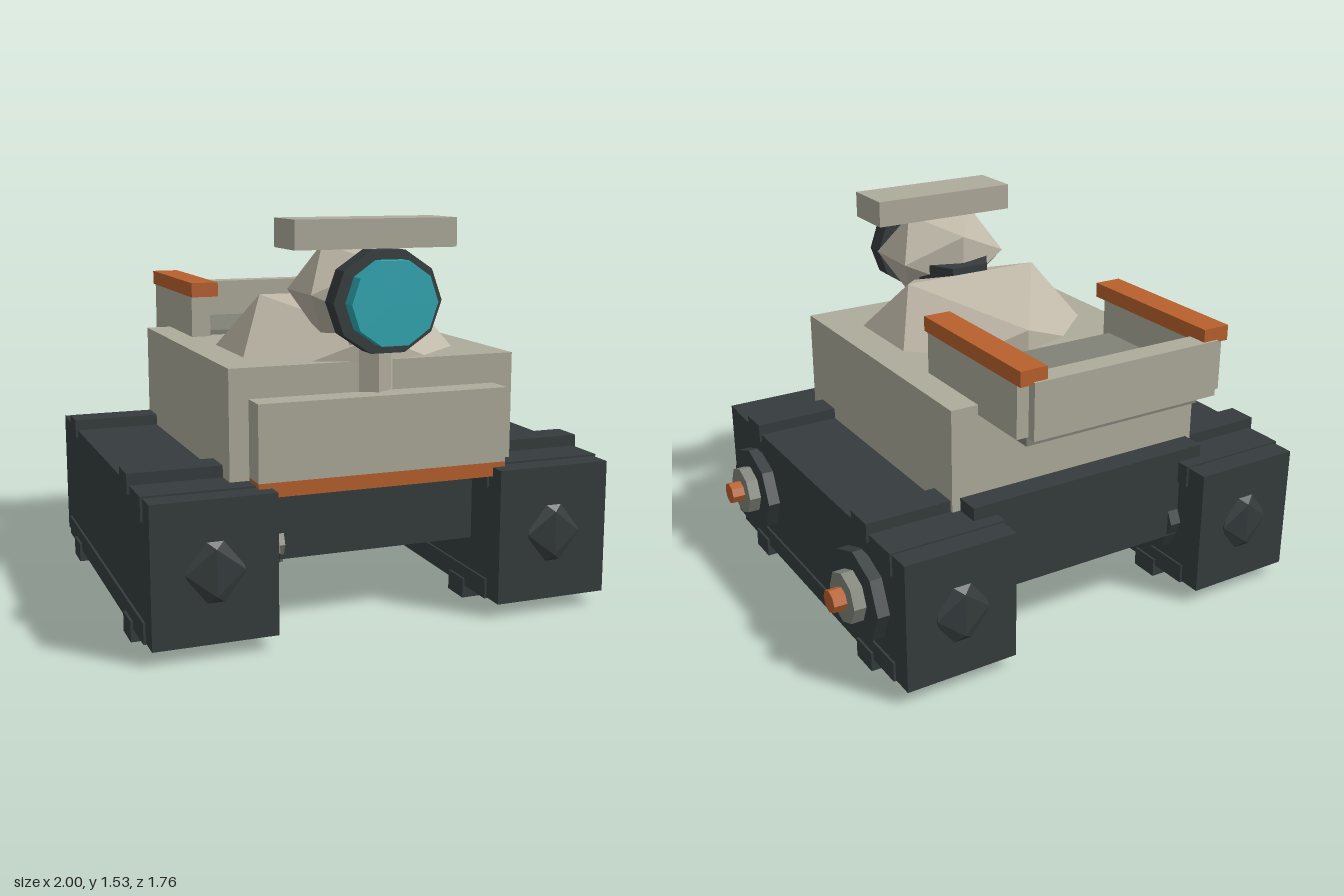
import * as THREE from 'three';

const mat = (name, color) => {
  const m = new THREE.MeshStandardMaterial({ color, flatShading: true });
  m.name = name;
  return m;
};

export function createModel() {
  const shell = mat('shell beige', 0xaeab9b);
  const pale = mat('pale beige', 0xbfb8a8);
  const dark = mat('dark slate', 0x353c3d);
  const grey = mat('grey', 0x808378);
  const orange = mat('orange', 0xb8602c);
  const cyan = mat('cyan', 0x2fa8b4);

  const root = new THREE.Group();
  root.name = 'robotRover';
  const CX = -0.07; // centre line of the body

  const add = (parent, name, geometry, material) => {
    const mesh = new THREE.Mesh(geometry, material);
    mesh.name = name;
    parent.add(mesh);
    return mesh;
  };
  // Box given by its limits on each axis
  const box = (parent, name, material, [x0, x1], [y0, y1], [z0, z1]) =>
    add(parent, name, new THREE.BoxGeometry(x1 - x0, y1 - y0, z1 - z0)
      .translate((x0 + x1) / 2, (y0 + y1) / 2, (z0 + z1) / 2), material);
  // Icosahedron stretched on each axis
  const gem = (parent, name, material, scale, pos) =>
    add(parent, name, new THREE.IcosahedronGeometry(1, 0).scale(...scale).translate(...pos), material);
  // Disc along x from x0 to x1
  const discX = (parent, name, material, r, squash, x0, x1, y, z) =>
    add(parent, name, new THREE.CylinderGeometry(r, r, x1 - x0, 8).rotateZ(-Math.PI / 2)
      .scale(1, squash, 1).translate((x0 + x1) / 2, y, z), material);
  // Ten-sided disc along z from z0 to z1
  const discZ = (parent, name, material, r, squash, z0, z1, x, y) =>
    add(parent, name, new THREE.CylinderGeometry(r, r, z1 - z0, 10, 1, false, Math.PI / 2)
      .rotateX(Math.PI / 2).scale(1, squash, 1).translate(x, y, (z0 + z1) / 2), material);

  // Track units: box, tread strips, cleats, end bosses and wheels
  for (const [name, x] of [['rightTrack', -0.747], ['leftTrack', 0.613]]) {
    const track = new THREE.Group();
    track.name = name;
    root.add(track);
    box(track, 'trackBox', dark, [x - 0.234, x + 0.234], [0.055, 0.585], [-0.83, 0.855]);
    for (const [y0, y1] of [[0.05, 0.13], [0.5, 0.592]])
      box(track, 'treadStrip', dark, [x - 0.243, x + 0.243], [y0, y1], [-0.735, 0.76]);
    for (const z of [-0.505, 0.53]) {
      for (const [y0, y1] of [[0, 0.08], [0.56, 0.637]])
        box(track, 'cleat', dark, [x - 0.253, x + 0.253], [y0, y1], [z - 0.063, z + 0.063]);
      const wheel = new THREE.Group();
      wheel.name = 'wheel';
      track.add(wheel);
      discX(wheel, 'wheelDisc', dark, 0.2, 0.905, x + 0.2, x + 0.284, 0.32, z);
      discX(wheel, 'hub', grey, 0.108, 0.96, x + 0.284, x + 0.334, 0.32, z);
      discX(wheel, 'hubCap', orange, 0.048, 0.95, x + 0.334, x + 0.387, 0.32, z);
    }
    for (const z of [-0.81, 0.832])
      gem(track, 'endBoss', dark, [0.13, 0.165, 0.05], [x, 0.32, z]);
  }

  // Chassis and main body
  box(root, 'chassis', dark, [-0.615, 0.475], [0.26, 0.645], [-0.68, 0.62]);
  box(root, 'body', shell, [-0.64, 0.51], [0.53, 1.01], [-0.58, 0.68]);
  box(root, 'frontPanel', shell, [-0.565, 0.43], [0.605, 0.895], [0.66, 0.79]);
  box(root, 'frontBumper', orange, [-0.565, 0.43], [0.55, 0.605], [0.67, 0.79]);
  gem(root, 'shoulderDome', pale, [0.59, 0.385, 0.535], [CX, 0.9, 0.25]);

  // Neck and head
  add(root, 'neck', new THREE.CylinderGeometry(0.11, 0.11, 0.25, 6).translate(CX, 1.005, 0.61), shell);
  add(root, 'collar', new THREE.CylinderGeometry(0.17, 0.17, 0.085, 6, 1, false, Math.PI / 6)
    .translate(CX, 1.212, 0.41), dark);
  const head = new THREE.Group();
  head.name = 'head';
  root.add(head);
  gem(head, 'skull', pale, [0.29, 0.213, 0.25], [CX, 1.26, 0.53]);
  box(head, 'browBar', shell, [-0.39, 0.257], [1.425, 1.535], [0.465, 0.69]);
  discZ(head, 'eyeRing', dark, 0.213, 0.92, 0.715, 0.8, CX, 1.24);
  discZ(head, 'eyeLens', cyan, 0.168, 0.955, 0.78, 0.865, CX, 1.24);

  // Open cargo tray with rails
  const tray = new THREE.Group();
  tray.name = 'cargoTray';
  root.add(tray);
  box(tray, 'trayFloor', grey, [-0.46, 0.33], [0.915, 1.03], [-0.81, -0.24]);
  box(tray, 'backWall', shell, [-0.487, 0.345], [0.965, 1.19], [-0.882, -0.79]);
  for (const s of [-1, 1]) {
    const x = CX + s * 0.425, r = CX + s * 0.412;
    box(tray, 'sideWall', shell, [x - 0.04, x + 0.04], [0.97, 1.185], [-0.845, -0.2]);
    box(tray, 'rail', orange, [r - 0.057, r + 0.057], [1.18, 1.24], [-0.872, -0.18]);
  }

  return root;
}
